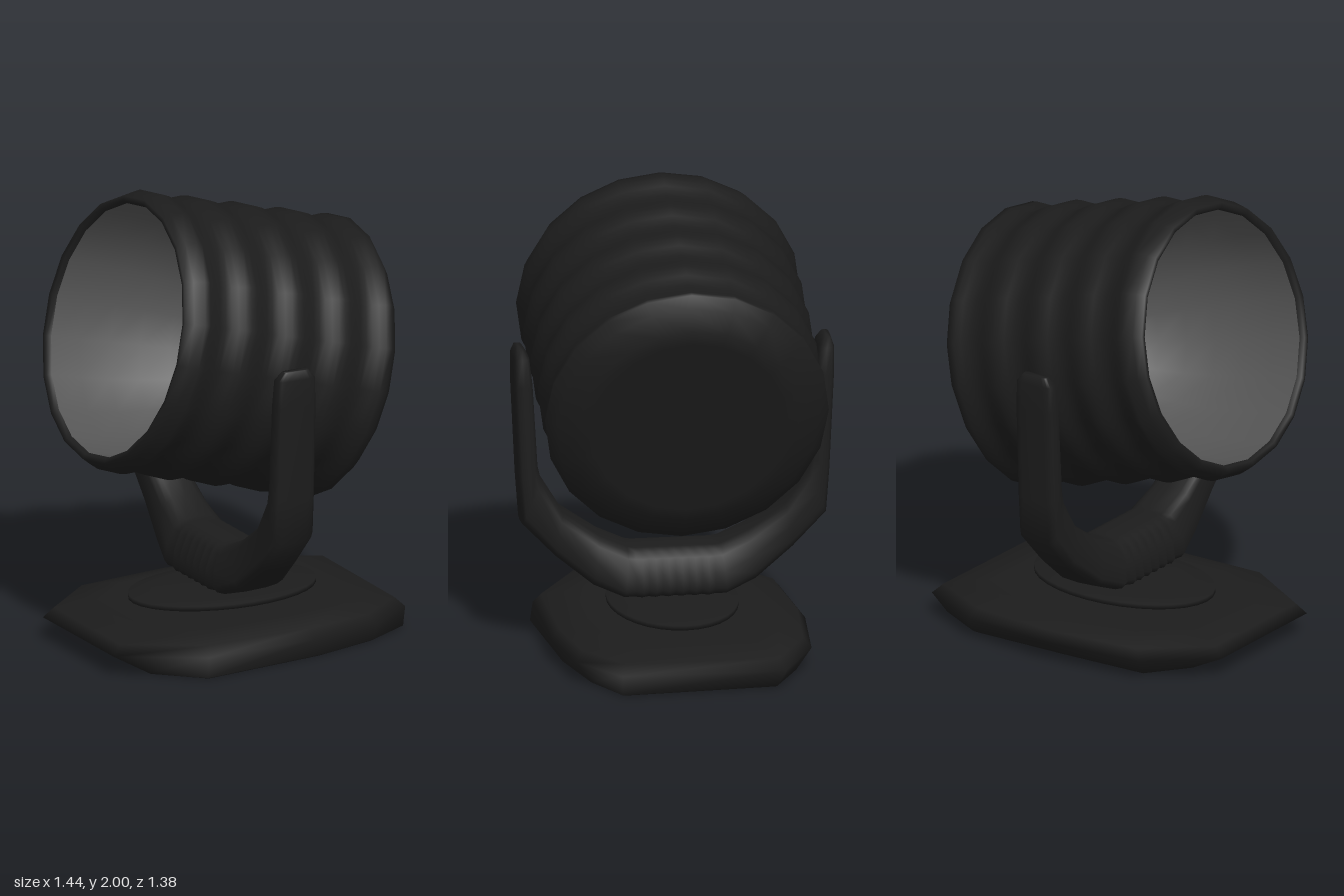
import * as THREE from 'three';

// Skin a list of equal-length rings (counter-clockwise about the path), with end caps
function loft(rings) {
  const n = rings[0].length, index = [];
  for (let j = 0; j < rings.length - 1; j++) {
    for (let i = 0; i < n; i++) {
      const k = (i + 1) % n;
      const a = j * n + i, b = j * n + k, c = b + n, d = a + n;
      index.push(a, b, c, a, c, d);
    }
  }
  const last = (rings.length - 1) * n;
  for (let i = 1; i < n - 1; i++) {
    index.push(0, i + 1, i, last, last + i, last + i + 1);
  }
  const geo = new THREE.BufferGeometry();
  geo.setAttribute('position', new THREE.Float32BufferAttribute(rings.flat(2), 3));
  geo.setIndex(index);
  geo.computeVertexNormals();
  return geo;
}

// Yoke cross-section between an inner and an outer point, with its own half widths
function yokeRing([zi, yi, zo, yo, wIn, wOut]) {
  const ring = [], n = 16;
  const soft = v => Math.sign(v) * Math.sqrt(Math.abs(v));
  for (let i = 0; i < n; i++) {
    const t = i / n * Math.PI * 2;
    const s = (soft(Math.sin(t)) + 1) / 2; // 0 = outer face, 1 = inner face
    const w = THREE.MathUtils.lerp(wOut, wIn, s * s);
    ring.push([-0.014 - soft(Math.cos(t)) * w, yo + (yi - yo) * s, zo + (zi - zo) * s]);
  }
  return ring;
}

export function createModel() {
  const black = new THREE.MeshStandardMaterial({ color: 0x1c1c1c });
  black.name = 'black housing';
  const grey = new THREE.MeshStandardMaterial({ color: 0x555555 });
  grey.name = 'grey reflector';

  const model = new THREE.Group();
  model.name = 'spotlight';
  const add = (name, geo, mat, parent = model) => {
    const mesh = new THREE.Mesh(geo, mat);
    mesh.name = name;
    parent.add(mesh);
    return mesh;
  };
  const lathe = (pts, segments) =>
    new THREE.LatheGeometry(pts.map(p => new THREE.Vector2(...p)), segments);

  // Lamp head: ribbed drum tilted upward, open toward -x
  const head = new THREE.Group();
  head.name = 'lampHead';
  head.position.y = 1.29;
  head.rotation.z = THREE.MathUtils.degToRad(75);
  model.add(head);

  const profile = [[0, -0.557], [0.42, -0.557], [0.475, -0.55], [0.565, -0.51]];
  for (let i = 0; i <= 32; i++) { // five ridges along the side
    const t = -0.47 + 0.94 * i / 32;
    profile.push([0.598 + 0.012 * Math.cos(i / 8 * Math.PI * 2), t]);
  }
  profile.push([0.592, 0.515], [0.575, 0.553], [0.553, 0.55], [0.545, 0.53]);
  add('drum', lathe(profile, 20), black, head);

  // Rounded bowl inside the drum
  const bowl = [];
  for (let i = 0; i <= 10; i++) {
    const a = i / 10 * Math.PI / 2;
    bowl.push([0.545 * Math.cos(a), 0.53 - 0.9 * Math.sin(a)]);
  }
  add('reflector', lathe(bowl, 20), grey, head);

  // Yoke: half path from arm tip to the foot, mirrored, with a ribbed foot between
  const arm = [
    [0.643, 1.357, 0.678, 1.357, 0.06, 0.06],
    [0.62, 1.32, 0.69, 1.32, 0.09, 0.09],
    [0.606, 1.2, 0.69, 1.2, 0.095, 0.095],
    [0.585, 0.84, 0.67, 0.78, 0.098, 0.098],
    [0.57, 0.78, 0.655, 0.58, 0.1, 0.1],
    [0.48, 0.63, 0.51, 0.43, 0.1, 0.1],
    [0.32, 0.52, 0.35, 0.3, 0.1, 0.13],
    [0.2, 0.465, 0.22, 0.245, 0.1, 0.165],
  ];
  const foot = [];
  for (let i = 0; i <= 12; i++) {
    const z = 0.17 - 0.34 * i / 12;
    foot.push([z, 0.46, z, 0.24, 0.1, i % 2 ? 0.168 : 0.142]);
  }
  const mirrored = arm.map(([zi, yi, zo, yo, a, b]) => [-zi, yi, -zo, yo, a, b]).reverse();
  add('yoke', loft([...arm, ...foot, ...mirrored].map(yokeRing)), black);

  // Oval turntable plate with a thinned edge
  const plate = add('turntable', lathe([[0, -0.02], [0.75, -0.018], [1, -0.011],
    [1, 0.009], [0.75, 0.017], [0, 0.019]], 32), black);
  plate.scale.set(0.43, 1, 0.28);
  plate.position.set(-0.01, 0.207, 0);

  // Irregular base slab: bottom, widest and top outlines as [x, z]
  const bottom = [[-0.57, 0.38], [-0.38, 0.56], [0.2, 0.5], [0.5, 0.42], [0.7, 0.31],
    [0.66, -0.36], [0.45, -0.47], [0, -0.46], [-0.42, -0.44], [-0.56, -0.26]];
  const middle = [[-0.72, 0.34], [-0.37, 0.55], [0.15, 0.54], [0.48, 0.48], [0.71, 0.31],
    [0.72, -0.39], [0.42, -0.54], [0, -0.57], [-0.45, -0.52], [-0.72, -0.29]];
  const level = (outline, y, s = 1) => outline.map(([x, z]) => [x * s, y, z * s]);
  add('base', loft([
    level(bottom, 0.003, 0.98),
    level(bottom, 0.01),
    level(middle, 0.095),
    level(middle, 0.137, 0.94),
    level(middle, 0.165, 0.76),
    level(middle, 0.168, 0.7),
  ]), black);

  return model;
}
